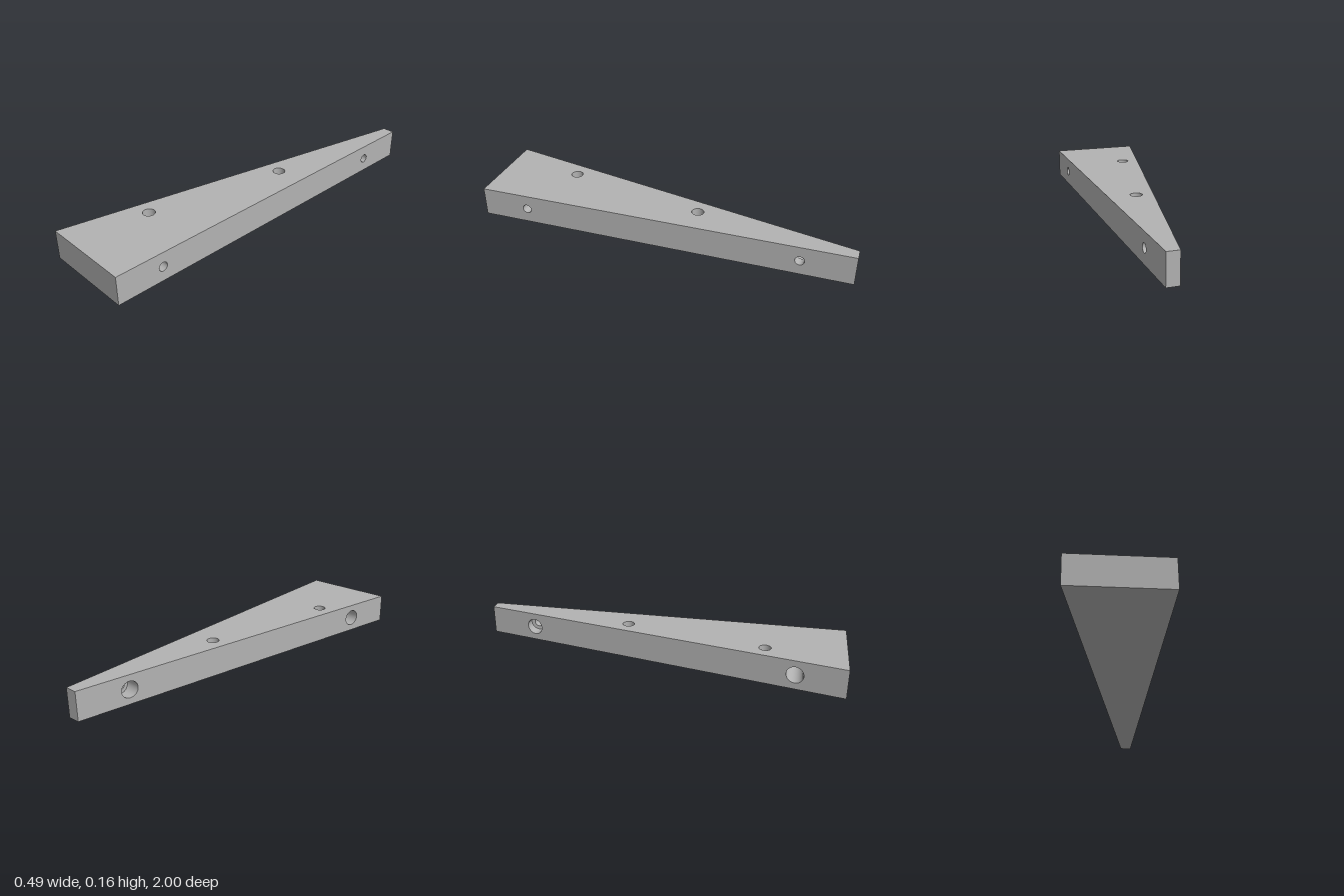
import * as THREE from 'three';
import { mergeVertices } from 'three/addons/utils/BufferGeometryUtils.js';

const HALF = 0.243, TIP = 0.18, H = 0.156, SEG = 32;
const SEAT = 0.19;            // x of the counterbore seat
const PIN_DEPTH = 0.1;        // depth of the blind holes in the top
const BOLT_R = 0.024, HEAD_R = 0.044, PIN_R = 0.032;
const bolts = [0.745, -0.73];                   // z of the cross bores
const pins = [[0.095, -0.17], [-0.065, 0.585]]; // x, z of the blind holes
const slantX = z => (TIP - HALF) / 2 - z * (TIP + HALF) / 2;

export function createModel() {
  const model = new THREE.Group();
  const grey = new THREE.MeshStandardMaterial({ color: 0xb2b2b2, side: THREE.DoubleSide });
  grey.name = 'plain grey';

  const add = (name, geometry) => {
    const mesh = new THREE.Mesh(geometry, grey);
    mesh.name = name;
    model.add(mesh);
  };

  // Move every vertex by a rule
  const remap = (geometry, rule) => {
    const p = geometry.attributes.position;
    for (let i = 0; i < p.count; i++) p.setXYZ(i, ...rule(p.getX(i), p.getY(i), p.getZ(i)));
    geometry.computeVertexNormals();
    return geometry;
  };

  // Flat face outlined in its own plane, with round holes [u, v, radius]
  const face = (name, outline, holes, rule) => {
    const shape = new THREE.Shape(outline.map(([u, v]) => new THREE.Vector2(u, v)));
    for (const [u, v, r] of holes) shape.holes.push(new THREE.Path().absarc(u, v, r, 0, Math.PI * 2, true));
    add(name, remap(new THREE.ShapeGeometry(shape, SEG), rule));
  };

  // Smooth bore wall facing inwards (the rule mirrors the cylinder)
  const bore = (name, r, rule) => {
    const g = new THREE.CylinderGeometry(r, r, 1, SEG, 1, true);
    g.deleteAttribute('uv');
    g.deleteAttribute('normal');
    add(name, remap(mergeVertices(g), rule));
  };

  const rect = (a, b) => [[a, 0], [b, 0], [b, H], [a, H]];
  const plan = [[-HALF, 1], [HALF, 1], [HALF, -1], [TIP, -1]];

  // Outer faces of the tapered wedge
  face('topFace', plan.map(([x, z]) => [x, -z]), pins.map(([x, z]) => [x, -z, PIN_R]), (u, v) => [u, H, -v]);
  face('bottomFace', plan, [], (u, v) => [u, 0, v]);
  face('wideEnd', rect(-HALF, HALF), [], (u, v) => [u, v, 1]);
  face('narrowEnd', rect(-HALF, -TIP), [], (u, v) => [-u, v, -1]);
  face('straightSide', rect(-1, 1), bolts.map(z => [-z, H / 2, BOLT_R]), (u, v) => [HALF, v, -u]);
  face('slantedSide', rect(-1, 1), bolts.map(z => [z, H / 2, HEAD_R]), (u, v) => [slantX(u), v, u]);

  // Counterbored cross holes
  for (const cz of bolts) {
    bore('boltHole', BOLT_R, (x, y, z) => [y > 0 ? HALF : SEAT, H / 2 + x, cz + z]);
    bore('counterbore', HEAD_R, (x, y, z) => [y > 0 ? SEAT : slantX(cz + z), H / 2 + x, cz + z]);
    add('counterboreSeat', new THREE.RingGeometry(BOLT_R, HEAD_R, SEG).rotateY(-Math.PI / 2).translate(SEAT, H / 2, cz));
  }

  // Blind holes in the top
  for (const [cx, cz] of pins) {
    bore('pinHole', PIN_R, (x, y, z) => [cx - x, y > 0 ? H : H - PIN_DEPTH, cz + z]);
    add('pinHoleFloor', new THREE.CircleGeometry(PIN_R, SEG).rotateX(-Math.PI / 2).translate(cx, H - PIN_DEPTH, cz));
  }
  return model;
}
